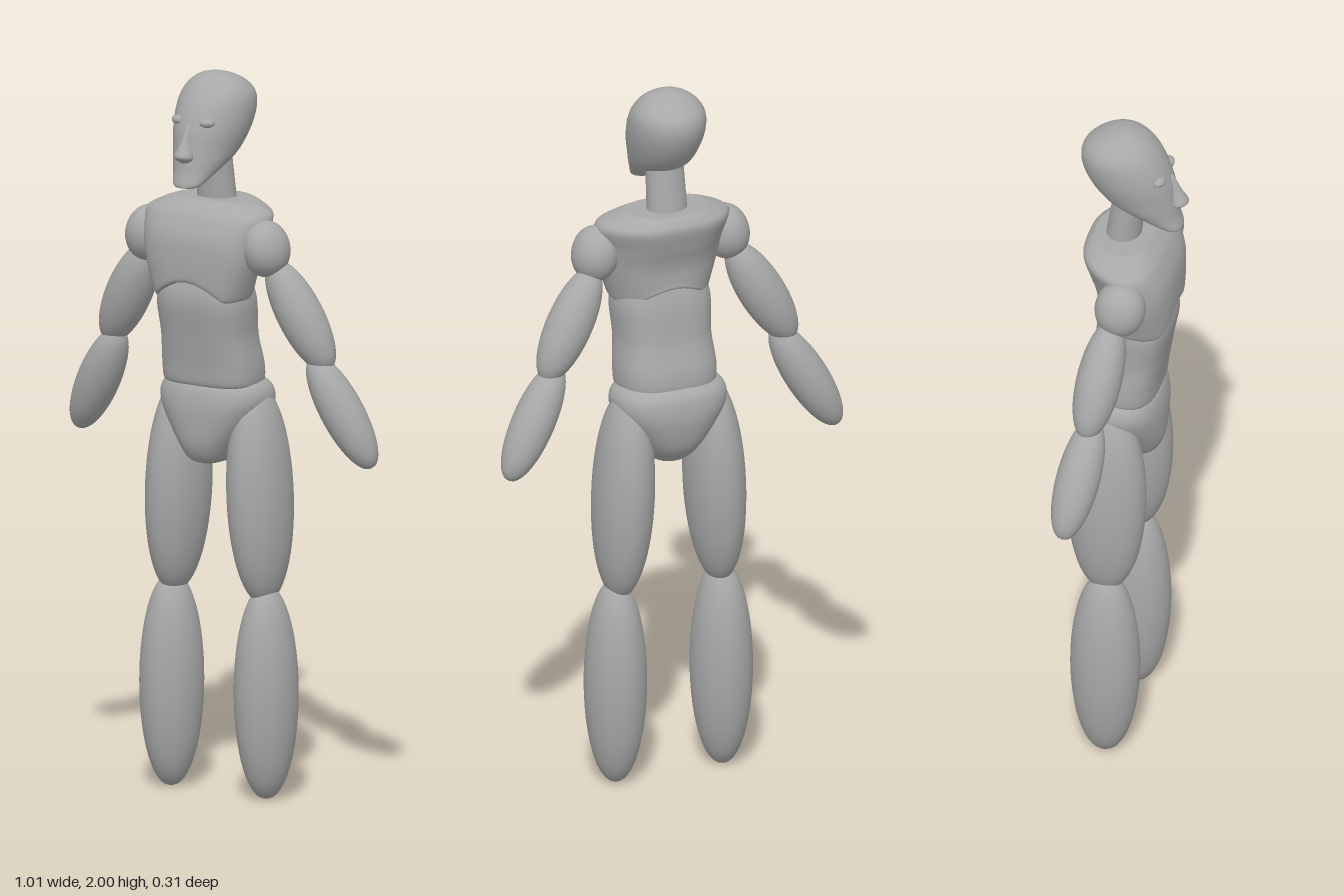
import * as THREE from 'three';

const grey = new THREE.MeshStandardMaterial({ color: 0xa8a8a8 });
grey.name = 'matte grey';

// Smooth closed skin over rows [y, half width, front z, back z], bottom to top.
// power: 2 = oval section, higher = boxier; taper narrows the back; warp moves each vertex.
function loft(rows, { power = 2, taper = 0, steps = 40, sides = 40, warp } = {}) {
  const a = new THREE.CatmullRomCurve3(rows.map(r => new THREE.Vector3(r[0], r[1], r[2])), false, 'catmullrom');
  const b = new THREE.CatmullRomCurve3(rows.map(r => new THREE.Vector3(r[0], r[3], 0)), false, 'catmullrom');
  const pos = [], index = [];
  const round = c => Math.sign(c) * Math.pow(Math.abs(c), 2 / power);
  const add = (x, y, z) => {
    const v = new THREE.Vector3(x, y, z);
    if (warp) warp(v);
    pos.push(v.x, v.y, v.z);
  };
  for (let j = 0; j <= steps; j++) {
    const p = a.getPoint(j / steps), back = b.getPoint(j / steps).y;
    const mid = (p.z + back) / 2, depth = (p.z - back) / 2;
    for (let i = 0; i < sides; i++) {
      const t = (i / sides) * Math.PI * 2, s = round(Math.sin(t));
      add(p.y * round(Math.cos(t)) * (1 - taper * Math.max(0, -s)), p.x, mid + depth * s);
    }
  }
  for (let j = 0; j < steps; j++) {
    for (let i = 0; i < sides; i++) {
      const n = (i + 1) % sides, c = j * sides, u = c + sides;
      index.push(c + i, u + i, c + n, c + n, u + i, u + n);
    }
  }
  // end caps
  const first = rows[0], last = rows[rows.length - 1], bottom = pos.length / 3;
  add(0, first[0], (first[2] + first[3]) / 2);
  add(0, last[0], (last[2] + last[3]) / 2);
  for (let i = 0; i < sides; i++) {
    const n = (i + 1) % sides, u = steps * sides;
    index.push(bottom, i, n, bottom + 1, u + n, u + i);
  }
  const g = new THREE.BufferGeometry();
  g.setAttribute('position', new THREE.Float32BufferAttribute(pos, 3));
  g.setIndex(index);
  g.computeVertexNormals();
  return g;
}

function part(parent, name, geometry) {
  const m = new THREE.Mesh(geometry, grey);
  m.name = name;
  parent.add(m);
  return m;
}

// Slightly full ellipsoid running between two points
function limb(parent, name, from, to, rx, rz) {
  const p = new THREE.Vector3(...from), q = new THREE.Vector3(...to);
  const half = p.distanceTo(q) / 2, rows = [];
  for (let i = 0; i <= 16; i++) {
    const t = (i / 16) * Math.PI, r = Math.pow(Math.max(Math.sin(t), 1e-4), 0.92);
    rows.push([-half * Math.cos(t), rx * r, rz * r, -rz * r]);
  }
  const m = part(parent, name, loft(rows, { steps: 32, sides: 28 }));
  m.position.copy(p).add(q).multiplyScalar(0.5);
  m.quaternion.setFromUnitVectors(new THREE.Vector3(0, 1, 0), p.clone().sub(q).normalize());
  return m;
}

export function createModel() {
  const model = new THREE.Group();
  model.name = 'jointed mannequin';

  // Head with a long jaw
  const head = new THREE.Group();
  head.name = 'head';
  model.add(head);
  part(head, 'skull', loft([
    [1.70, 0.03, 0.14, 0.10],
    [1.71, 0.045, 0.14, 0.075],
    [1.74, 0.062, 0.132, 0.01],
    [1.77, 0.077, 0.127, -0.05],
    [1.80, 0.087, 0.122, -0.09],
    [1.85, 0.1, 0.113, -0.125],
    [1.90, 0.105, 0.095, -0.143],
    [1.94, 0.1, 0.072, -0.138],
    [1.97, 0.08, 0.045, -0.11],
    [1.99, 0.05, 0.015, -0.07],
    [2.0, 0.012, -0.012, -0.034],
  ], { steps: 50 }));

  // Nose wedge
  part(head, 'nose', loft([
    [1.768, 0.012, 0.135, 0.10],
    [1.778, 0.025, 0.148, 0.10],
    [1.79, 0.026, 0.155, 0.10],
    [1.82, 0.016, 0.138, 0.09],
    [1.87, 0.009, 0.112, 0.08],
  ], { steps: 20, sides: 20 }));

  // Neck, leaning forward
  const neck = part(model, 'neck', new THREE.CylinderGeometry(0.052, 0.057, 0.18, 32));
  neck.scale.z = 0.84;
  neck.position.set(0, 1.73, -0.016);
  neck.rotation.x = 0.13;

  // Chest, with an arched lower edge
  part(model, 'chest', loft([
    [1.385, 0.125, 0.115, -0.08],
    [1.39, 0.138, 0.125, -0.09],
    [1.42, 0.15, 0.128, -0.09],
    [1.50, 0.175, 0.128, -0.093],
    [1.56, 0.184, 0.122, -0.112],
    [1.615, 0.192, 0.096, -0.127],
    [1.64, 0.155, 0.07, -0.118],
    [1.655, 0.115, 0.05, -0.102],
  ], {
    power: 3, taper: 0.3, sides: 56,
    warp: v => {
      const low = THREE.MathUtils.clamp((1.5 - v.y) / 0.11, 0, 1);
      v.y += 0.05 * low * Math.max(0, 1 - (v.x / 0.11) ** 2);
    },
  }));

  // Waist
  part(model, 'abdomen', loft([
    [1.14, 0.125, 0.065, -0.105],
    [1.15, 0.14, 0.08, -0.122],
    [1.20, 0.142, 0.087, -0.12],
    [1.28, 0.135, 0.1, -0.1],
    [1.38, 0.139, 0.115, -0.088],
    [1.45, 0.12, 0.1, -0.07],
  ], { power: 3, taper: 0.12 }));

  // Hips
  part(model, 'pelvis', loft([
    [0.92, 0.02, 0.03, -0.05],
    [0.935, 0.055, 0.066, -0.09],
    [0.98, 0.09, 0.088, -0.132],
    [1.05, 0.14, 0.093, -0.152],
    [1.10, 0.162, 0.09, -0.153],
    [1.14, 0.152, 0.078, -0.14],
    [1.17, 0.11, 0.05, -0.1],
  ], { power: 2.4 }));

  // Mirrored parts: s = 1 is the model's left
  for (const s of [1, -1]) {
    const side = s > 0 ? 'left' : 'right';
    const eye = part(head, side + 'Eye', new THREE.SphereGeometry(1, 20, 14));
    eye.scale.set(0.022, 0.013, 0.016);
    eye.position.set(s * 0.048, 1.877, 0.086);
    eye.rotation.y = s * 0.35;

    limb(model, side + 'Shoulder', [s * 0.178, 1.612, 0.02], [s * 0.21, 1.46, 0.012], 0.065, 0.07);
    limb(model, side + 'UpperArm', [s * 0.205, 1.5, 0.0], [s * 0.368, 1.21, -0.035], 0.064, 0.062);
    limb(model, side + 'Forearm', [s * 0.322, 1.247, -0.022], [s * 0.491, 0.95, -0.066], 0.059, 0.06);
    limb(model, side + 'Thigh', [s * 0.122, 1.14, -0.038], [s * 0.15, 0.54, -0.038], 0.081, 0.11);
    limb(model, side + 'LowerLeg', [s * 0.157, 0.59, -0.036], [s * 0.159, 0, -0.036], 0.084, 0.096);
  }
  return model;
}
